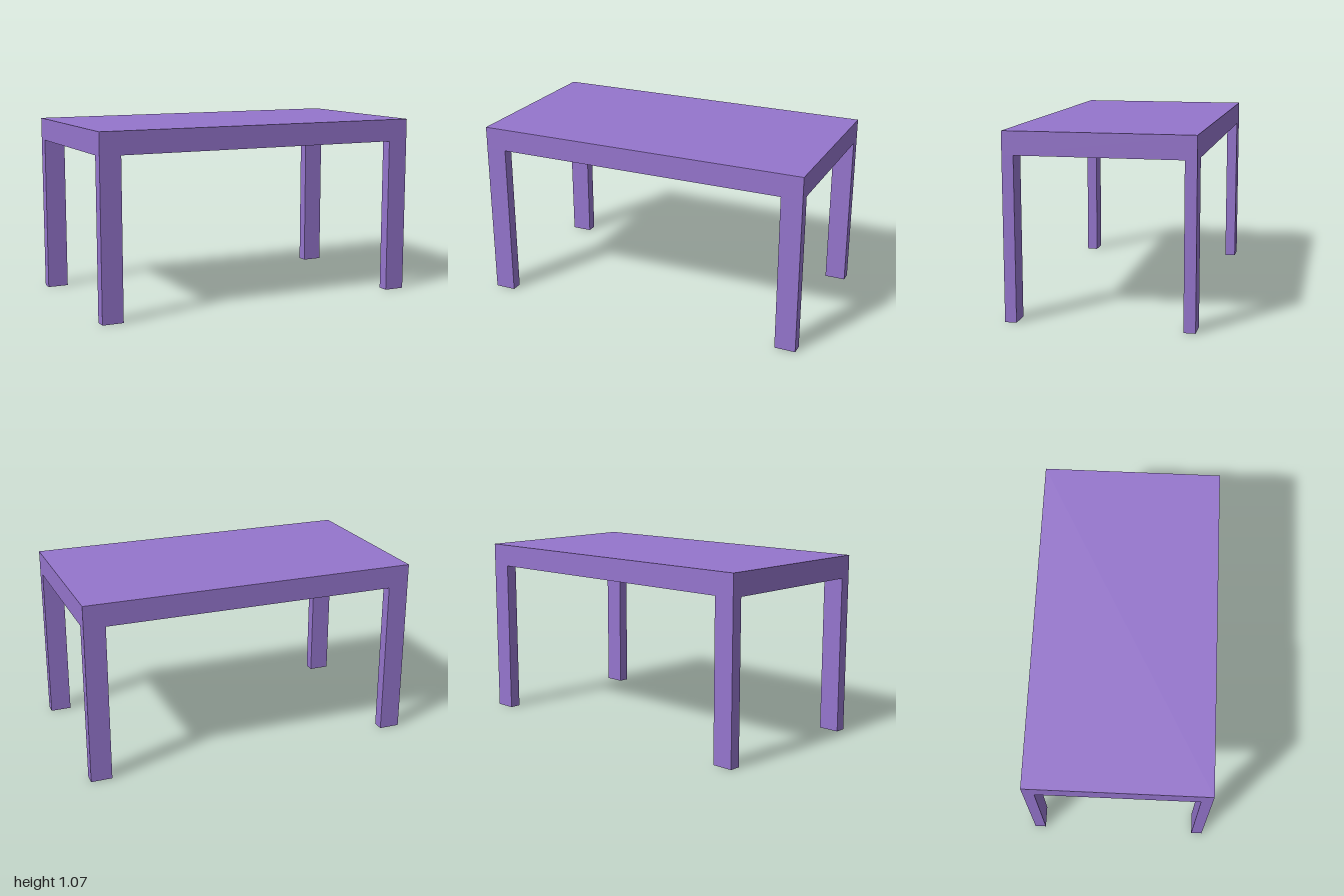
import * as THREE from 'three';

const WIDTH = 2, HEIGHT = 1.067, DEPTH = 1.067;
const TOP = 0.133, LEG_X = 0.125, LEG_Z = 0.066;

export function createModel() {
  const table = new THREE.Group();
  table.name = 'table';
  const material = new THREE.MeshStandardMaterial({ color: 0x9575cd });

  const addBox = (name, w, h, d, x, y, z) => {
    const mesh = new THREE.Mesh(new THREE.BoxGeometry(w, h, d), material);
    mesh.name = name;
    mesh.position.set(x, y, z);
    table.add(mesh);
  };

  // Thick slab top
  addBox('tabletop', WIDTH, TOP, DEPTH, 0, HEIGHT - TOP / 2, 0);

  // Four rectangular legs, flush with the corners of the top
  const legHeight = HEIGHT - TOP;
  for (const [xName, sx] of [['Left', 1], ['Right', -1]]) {
    for (const [zName, sz] of [['front', 1], ['back', -1]]) {
      addBox(`${zName}${xName}Leg`, LEG_X, legHeight, LEG_Z,
        sx * (WIDTH - LEG_X) / 2, legHeight / 2, sz * (DEPTH - LEG_Z) / 2);
    }
  }
  return table;
}
